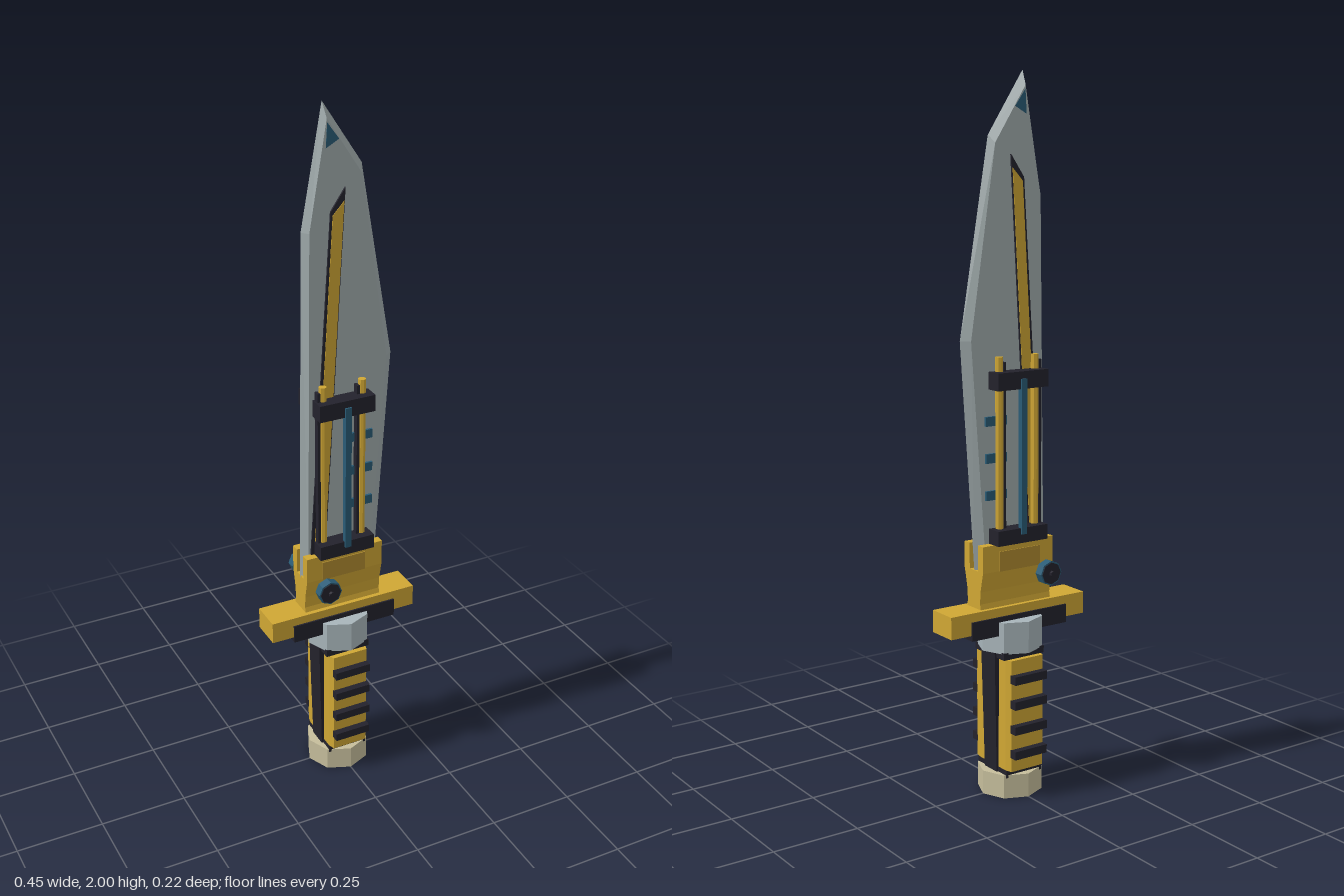
import * as THREE from 'three';

const mat = (name, color) => {
  const m = new THREE.MeshStandardMaterial({ color, flatShading: true });
  m.name = name;
  return m;
};

export function createModel() {
  const steel = mat('steel', 0xa2adae);
  const collarSteel = mat('pale steel', 0xa8b5ba);
  const gold = mat('gold', 0xd0a734);
  const darkGold = mat('dark gold', 0xb08c30);
  const black = mat('black', 0x23222c);
  const teal = mat('teal', 0x2a5c76);
  const bone = mat('bone', 0xc6be9c);

  const model = new THREE.Group();
  model.name = 'dagger';

  const add = (name, geo, material, x = 0, y = 0, z = 0) => {
    const m = new THREE.Mesh(geo, material);
    m.name = name;
    m.position.set(x, y, z);
    model.add(m);
    return m;
  };
  // box given by its limits on each axis
  const box = (name, material, x0, x1, y0, y1, z0, z1) =>
    add(name, new THREE.BoxGeometry(x1 - x0, y1 - y0, z1 - z0), material,
      (x0 + x1) / 2, (y0 + y1) / 2, (z0 + z1) / 2);
  const shape = pts => new THREE.Shape(pts.map(p => new THREE.Vector2(...p)));
  // flat plate running through the blade, visible on both faces
  const plate = (name, material, pts, half) => {
    const g = new THREE.ExtrudeGeometry(shape(pts), { depth: half * 2, bevelEnabled: false });
    return add(name, g, material, 0, 0, -half);
  };
  // side profile [z, y] swept across the width
  const sweepX = (name, material, pts, x0, x1) => {
    const g = new THREE.ExtrudeGeometry(shape(pts), { depth: x1 - x0, bevelEnabled: false });
    g.rotateY(Math.PI / 2);
    return add(name, g, material, x0);
  };

  // Blade: sharp outline at z = 0, flat inner faces at z = +-0.02
  const edge = [[-0.117, 0.65], [0.118, 0.65], [0.162, 1.29], [0.07, 1.83], [-0.042, 2], [-0.103, 1.67]];
  const flat = [[-0.1, 0.65], [0.092, 0.65], [0.139, 1.29], [0.06, 1.81], [-0.038, 1.96], [-0.088, 1.67]];
  const pos = [];
  const tri = (a, b, c, s) => (s > 0 ? [a, b, c] : [a, c, b]).forEach(p => pos.push(...p));
  for (const s of [1, -1]) {
    const inner = flat.map(p => [...p, 0.02 * s]);
    const outer = edge.map(p => [...p, 0]);
    for (let i = 0; i < 6; i++) {
      const j = (i + 1) % 6;
      tri(outer[i], outer[j], inner[j], s);
      tri(outer[i], inner[j], inner[i], s);
      if (i > 0 && i < 5) tri(inner[0], inner[i], inner[j], s);
    }
  }
  const bladeGeo = new THREE.BufferGeometry();
  bladeGeo.setAttribute('position', new THREE.Float32BufferAttribute(pos, 3));
  bladeGeo.computeVertexNormals();
  add('blade', bladeGeo, steel);

  // Inlaid strip and tip mark
  plate('stripBacking', black, [[-0.095, 0.7], [-0.05, 0.7], [0.012, 1.78], [-0.03, 1.72]], 0.025);
  plate('goldStrip', gold, [[-0.085, 0.7], [-0.053, 0.7], [0.008, 1.745], [-0.025, 1.71]], 0.0265);
  plate('tipMark', teal, [[-0.037, 1.95], [-0.041, 1.885], [-0.004, 1.905]], 0.0208);

  // Studs on the cutting side
  for (const y of [0.865, 0.968, 1.07]) box('stud', teal, 0.028, 0.096, y - 0.013, y + 0.013, -0.027, 0.027);

  // Clamps and rods on both faces
  box('upperClamp', black, -0.083, 0.083, 1.157, 1.205, -0.066, 0.066);
  box('lowerClamp', black, -0.083, 0.083, 0.73, 0.772, -0.066, 0.066);
  for (const s of [1, -1]) {
    add('centreBar', new THREE.BoxGeometry(0.018, 0.43, 0.016), teal, 0, 0.97, 0.063 * s);
    for (const x of [-0.06, 0.058]) {
      add('goldRod', new THREE.CylinderGeometry(0.011, 0.011, 0.52, 8), gold, x, 0.985, 0.034 * s);
      add('rodSleeve', new THREE.BoxGeometry(0.008, 0.5, 0.018), black, x - 0.014, 0.98, 0.032 * s);
    }
  }

  // Blade socket: waisted block with a fork of two cheeks
  sweepX('socket', gold, [[-0.045, 0.5], [0.045, 0.5], [0.03, 0.565], [0.032, 0.6], [0.045, 0.657],
    [-0.045, 0.657], [-0.032, 0.6], [-0.03, 0.565]], -0.116, 0.12);
  for (const s of [1, -1]) {
    add('cheek', new THREE.BoxGeometry(0.236, 0.075, 0.025), gold, 0.002, 0.6925, 0.0325 * s);
    add('cheekPanel', new THREE.BoxGeometry(0.135, 0.056, 0.006), darkGold, -0.002, 0.682, 0.045 * s);
    // Side screw with a dark face and pin
    const turn = g => g.rotateX(Math.PI / 2);
    add('screw', turn(new THREE.CylinderGeometry(0.035, 0.035, 0.026, 8)), teal, -0.07, 0.64, 0.088 * s);
    add('screwFace', turn(new THREE.CylinderGeometry(0.031, 0.031, 0.004, 8)), black, -0.07, 0.64, 0.101 * s);
    add('screwPin', turn(new THREE.CylinderGeometry(0.008, 0.008, 0.012, 6)), black, -0.07, 0.64, 0.105 * s);
  }

  // Crossguard
  box('guard', gold, -0.225, 0.225, 0.487, 0.55, -0.046, 0.046);
  box('guardUnderplate', black, -0.16, 0.16, 0.472, 0.525, -0.051, 0.051);

  // Collar and pommel, eight-sided with a corner to the front
  add('collar', new THREE.CylinderGeometry(0.092, 0.092, 0.09, 8), collarSteel, 0, 0.466, 0);
  add('pommel', new THREE.CylinderGeometry(0.092, 0.092, 0.068, 8), [bone, bone, black], 0, 0.034, 0);

  // Grip core, narrowing downward and wider than the scales
  const core = new THREE.CylinderGeometry(0.074 * Math.SQRT2, 0.065 * Math.SQRT2, 0.37, 4);
  core.rotateY(Math.PI / 4);
  core.scale(1, 1, 0.45);
  add('gripCore', core, black, 0, 0.245, 0);
  box('gripTopBand', black, -0.068, 0.068, 0.405, 0.425, -0.07, 0.07);
  box('gripBottomBand', black, -0.06, 0.06, 0.06, 0.082, -0.07, 0.07);

  // Grip scales and finger ridges
  const scale = shape([[-0.059, 0.025], [0.059, 0.025], [0.059, 0.065], [0.053, 0.085], [-0.053, 0.085], [-0.059, 0.065]]);
  for (const s of [1, -1]) {
    const g = new THREE.ExtrudeGeometry(scale, { depth: 0.323, bevelEnabled: false });
    g.rotateX(-Math.PI / 2);
    g.rotateY(s > 0 ? Math.PI : 0);
    add('gripScale', g, gold, 0, 0.082, 0);
    for (const y of [0.135, 0.207, 0.28, 0.352])
      add('gripRidge', new THREE.BoxGeometry(0.108, 0.024, 0.03), black, 0, y, 0.09 * s);
  }
  return model;
}
